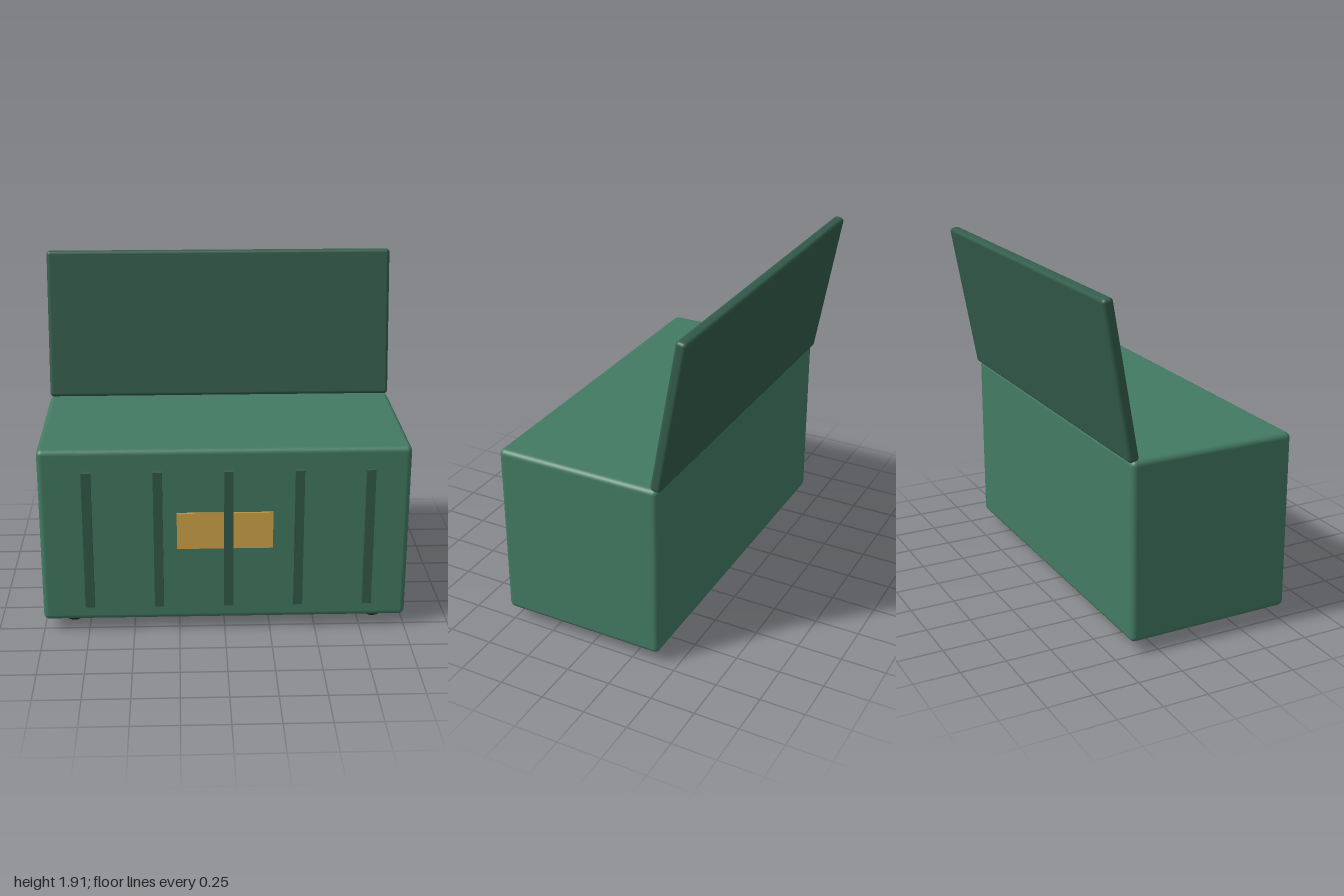
import * as THREE from 'three';
import { RoundedBoxGeometry } from 'three/addons/geometries/RoundedBoxGeometry.js';

const green = new THREE.MeshStandardMaterial({ color: 0x437a63 });
const darkGreen = new THREE.MeshStandardMaterial({ color: 0x335c4b });
const gold = new THREE.MeshStandardMaterial({ color: 0xd4a84b });
const black = new THREE.MeshStandardMaterial({ color: 0x1a1a1c });

export function createModel() {
  const model = new THREE.Group();
  model.name = 'wheeledChest';

  function add(name, geometry, material, x, y, z) {
    const mesh = new THREE.Mesh(geometry, material);
    mesh.name = name;
    mesh.position.set(x, y, z);
    model.add(mesh);
    return mesh;
  }

  // Chest body with softened edges
  add('body', new RoundedBoxGeometry(2, 1, 0.94, 4, 0.03), green, 0, 0.567, 0.065);

  // Open lid, leaning back from the rear top edge
  const lid = add('lid', new RoundedBoxGeometry(2, 0.854, 0.06, 4, 0.02), darkGreen, 0, 1.483, -0.466);
  lid.rotation.x = -THREE.MathUtils.degToRad(10);

  // Vertical ribs on the front
  const ribGeometry = new THREE.BoxGeometry(0.05, 0.79, 0.05);
  for (let i = 0; i < 5; i++) {
    add('frontRib', ribGeometry, darkGreen, -0.74 + i * 0.38, 0.555, 0.542);
  }

  // Thin plate behind the middle rib's face
  add('frontPlate', new THREE.BoxGeometry(0.52, 0.21, 0.008), gold, 0, 0.605, 0.552);

  // Four wheels, half sunk into the base
  const wheelGeometry = new THREE.CylinderGeometry(0.063, 0.063, 0.05, 24).rotateX(Math.PI / 2);
  for (const x of [-0.84, 0.84]) {
    for (const z of [0.382, -0.253]) add('wheel', wheelGeometry, black, x, 0.063, z);
  }

  return model;
}
